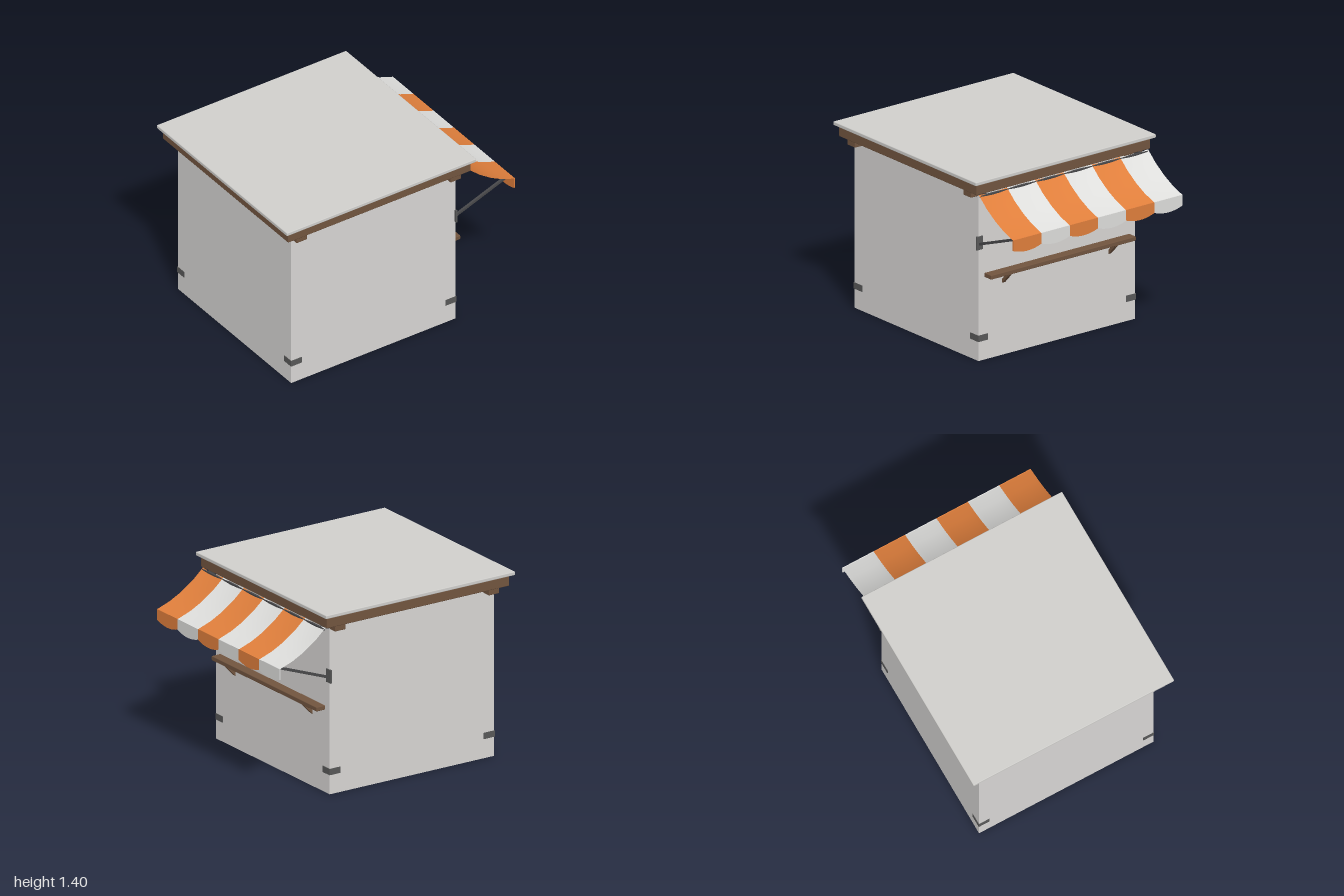
import * as THREE from 'three';
import { RoundedBoxGeometry } from 'three/addons/geometries/RoundedBoxGeometry.js';

const material = (name, color, side = THREE.FrontSide) => {
  const m = new THREE.MeshStandardMaterial({ color, side });
  m.name = name;
  return m;
};

export function createModel() {
  const model = new THREE.Group();
  model.name = 'kiosk';
  const wall = material('wall grey', 0xd8d6d4);
  const roof = material('roof grey', 0xd0cfcc);
  const wood = material('brown wood', 0x72553f);
  const metal = material('dark metal', 0x585858);
  const armMetal = material('arm metal', 0x48484a);
  const orange = material('awning orange', 0xe07f3c, THREE.DoubleSide);
  const white = material('awning white', 0xdededc, THREE.DoubleSide);

  const add = (name, geometry, mat, parent = model) => {
    const mesh = new THREE.Mesh(geometry, mat);
    mesh.name = name;
    parent.add(mesh);
    return mesh;
  };
  // Box given by its limits, with an optional small bevel
  const box = (name, mat, [x0, x1], [y0, y1], [z0, z1], bevel = 0) => {
    const size = [x1 - x0, y1 - y0, z1 - z0];
    const g = bevel ? new RoundedBoxGeometry(...size, 1, bevel) : new THREE.BoxGeometry(...size);
    g.translate((x0 + x1) / 2, (y0 + y1) / 2, (z0 + z1) / 2);
    return add(name, g, mat);
  };
  // Square bar between two points of the x-y plane
  const bar = (name, mat, a, b, z, thick, width) => {
    const dx = b[0] - a[0], dy = b[1] - a[1];
    const m = add(name, new THREE.BoxGeometry(Math.hypot(dx, dy), thick, width), mat);
    m.position.set((a[0] + b[0]) / 2, (a[1] + b[1]) / 2, z);
    m.rotation.z = Math.atan2(dy, dx);
  };

  // Walls and roof
  const X0 = -0.89, X1 = 0.525, Z = 0.708;
  box('walls', wall, [X0, X1], [0, 1.37], [-Z, Z]);
  box('roofBeam', wood, [-0.97, 0.603], [1.287, 1.362], [-0.786, 0.786], 0.006);
  box('roofSlab', roof, [-1, 0.63], [1.37, 1.398], [-0.815, 0.815], 0.006);

  // Corner fittings: wooden corbels above, metal corner plates below
  for (const s of [-1, 1]) {
    const zs = (a, b) => [Math.min(s * a, s * b), Math.max(s * a, s * b)];
    for (const [x, d] of [[X0, 1], [X1, -1]]) {
      const xs = [Math.min(x, x + d * 0.09), Math.max(x, x + d * 0.09)];
      box('corbel', wood, xs, [1.245, 1.288], zs(0.6, 0.775), 0.004);
      box('cornerPlateSide', metal, xs, [0.145, 0.192], zs(Z - 0.002, Z + 0.004));
      box('cornerPlateEnd', metal, [x - 0.004, x + 0.004], [0.145, 0.192], zs(Z - 0.083, Z + 0.004));
    }
    // Awning arm, wall plate and upper mount
    box('armPlate', metal, [0.516, 0.531], [0.838, 0.94], zs(0.668, 0.726), 0.003);
    bar('awningArm', armMetal, [0.525, 0.88], [0.985, 1.05], s * 0.697, 0.018, 0.018);
    bar('awningMount', armMetal, [0.525, 1.262], [0.605, 1.272], s * 0.697, 0.02, 0.02);
    // Counter bracket
    bar('counterBracket', wood, [0.515, 0.548], [0.592, 0.628], s * 0.48, 0.022, 0.027);
  }
  box('awningRail', armMetal, [0.597, 0.613], [1.264, 1.28], [-0.755, 0.755]);
  box('counter', wood, [X1, 0.603], [0.622, 0.655], [-0.655, 0.655], 0.005);

  // Striped awning: a sagging sheet per stripe and a scalloped valance
  const profile = [[0.6, 1.287], [0.69, 1.208], [0.79, 1.141], [0.885, 1.093], [0.99, 1.056]];
  const awning = new THREE.Group();
  awning.name = 'awning';
  model.add(awning);
  const stripes = 6, width = 0.255, cols = 8;
  for (let i = 0; i < stripes; i++) {
    const mat = i % 2 ? white : orange;
    const zStart = 0.765 - i * width;
    const sheet = new THREE.PlaneGeometry(1, 1, cols, profile.length - 1);
    const p = sheet.attributes.position;
    for (let k = 0; k < p.count; k++) {
      const c = k % (cols + 1), r = Math.floor(k / (cols + 1));
      const sag = 0.008 * Math.sin(Math.PI * c / cols) * (1 - r / (profile.length - 1));
      p.setXYZ(k, profile[r][0], profile[r][1] - sag, zStart - width * c / cols);
    }
    sheet.computeVertexNormals();
    add('awningStripe', sheet, mat, awning);

    const flap = new THREE.Shape();
    flap.moveTo(0, 1.056);
    flap.lineTo(0, 0.976);
    flap.quadraticCurveTo(width / 2, 0.928, width, 0.976);
    flap.lineTo(width, 1.056);
    const g = new THREE.ExtrudeGeometry(flap, { depth: 0.008, bevelEnabled: false, curveSegments: 10 });
    g.rotateY(Math.PI / 2).translate(0.988, 0, zStart);
    add('awningValance', g, mat, awning);
  }
  // Centre the overall width
  model.position.x = 0.002;
  return model;
}
